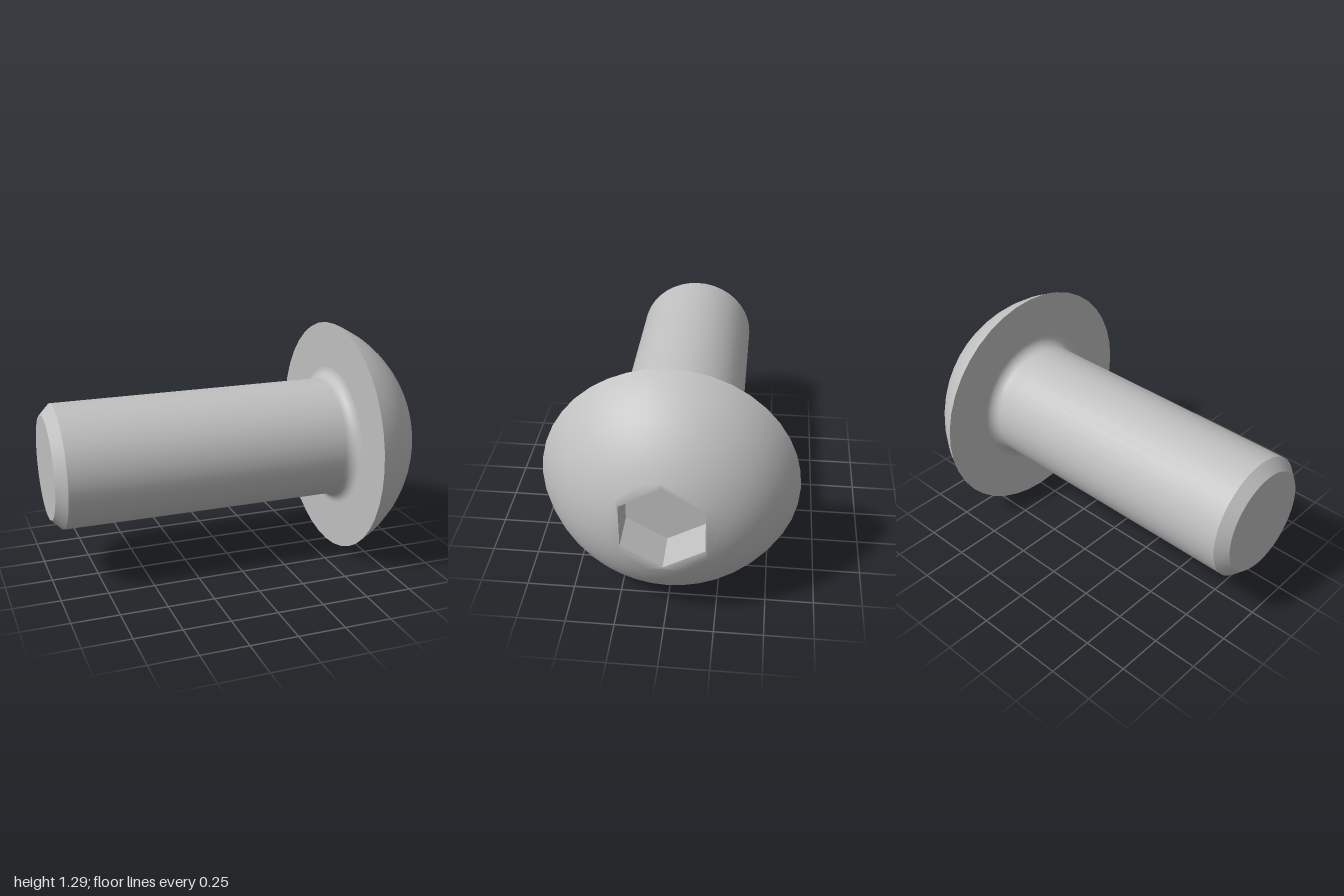
import * as THREE from 'three';

const SEGMENTS = 40;
const HEAD_R = 0.643, SHAFT_R = 0.33, TIP_R = 0.275, FLAT_R = 0.265;
const UNDERSIDE = 0.625, FILLET = 0.06;
const HEX_R = 0.235, SOCKET_DEPTH = 0.21;

// Points on an arc, angles in radians
function arc(cx, cy, r, from, to, steps) {
  return Array.from({ length: steps + 1 }, (_, i) => {
    const a = from + (to - from) * i / steps;
    return [cx + r * Math.cos(a), cy + r * Math.sin(a)];
  });
}

export function createModel() {
  const steel = new THREE.MeshStandardMaterial({ color: 0xc0c0c0 });
  steel.name = 'steel grey';

  // The screw is built along y, then laid on its side with the head at +x
  const screw = new THREE.Group();
  screw.name = 'screw';
  const add = (name, geometry, parent = screw) => {
    const mesh = new THREE.Mesh(geometry, steel);
    mesh.name = name;
    parent.add(mesh);
  };
  const turned = (name, points) => add(name,
    new THREE.LatheGeometry(points.map(([r, h]) => new THREE.Vector2(r, h)), SEGMENTS));

  // Shaft: separate turned bands keep the edges sharp
  add('tipFace', new THREE.CircleGeometry(TIP_R, SEGMENTS).rotateX(Math.PI / 2).translate(0, -1, 0));
  turned('tipChamfer', [[TIP_R, -1], [SHAFT_R, -0.945]]);
  turned('shaft', [[SHAFT_R, -0.945], [SHAFT_R, 0.5],
    ...arc(SHAFT_R + FILLET, UNDERSIDE - FILLET, FILLET, Math.PI, Math.PI / 2, 8)]);

  // Head: flat underside and a spherical dome
  turned('headUnderside', [[SHAFT_R + FILLET, UNDERSIDE], [HEAD_R, UNDERSIDE]]);
  const centre = (1 + FLAT_R ** 2 - UNDERSIDE ** 2 - HEAD_R ** 2) / (2 * (1 - UNDERSIDE));
  const domeR = Math.hypot(FLAT_R, 1 - centre);
  turned('headDome', arc(0, centre, domeR,
    Math.atan2(UNDERSIDE - centre, HEAD_R), Math.atan2(1 - centre, FLAT_R), 16));

  // Flat top of the head with a hexagonal opening
  const ring = (r, n) => Array.from({ length: n }, (_, i) =>
    new THREE.Vector2(r * Math.cos(i * 2 * Math.PI / n), r * Math.sin(i * 2 * Math.PI / n)));
  const top = new THREE.Shape(ring(FLAT_R, SEGMENTS));
  top.holes.push(new THREE.Path(ring(HEX_R, 6)));
  const topGeometry = new THREE.ShapeGeometry(top).rotateX(-Math.PI / 2).translate(0, 1, 0);
  // Blend the outer rim's shading into the dome
  const pos = topGeometry.attributes.position, normal = topGeometry.attributes.normal;
  for (let i = 0; i < pos.count; i++) {
    const x = pos.getX(i), z = pos.getZ(i);
    if (Math.hypot(x, z) > 0.25) normal.setXYZ(i, x / domeR, (1 - centre) / domeR, z / domeR);
  }
  add('headTop', topGeometry);

  // Hexagonal socket: six inward walls and a floor
  const socket = new THREE.Group();
  socket.name = 'socket';
  screw.add(socket);
  for (let i = 0; i < 6; i++) {
    add('socketWall', new THREE.PlaneGeometry(HEX_R, SOCKET_DEPTH)
      .translate(0, 1 - SOCKET_DEPTH / 2, -HEX_R * Math.sqrt(3) / 2)
      .rotateY(i * Math.PI / 3), socket);
  }
  add('socketFloor', new THREE.CircleGeometry(HEX_R, 6)
    .rotateX(-Math.PI / 2).translate(0, 1 - SOCKET_DEPTH, 0), socket);

  screw.rotation.z = -Math.PI / 2;
  screw.position.y = HEAD_R;
  const model = new THREE.Group();
  model.name = 'buttonHeadScrew';
  model.add(screw);
  return model;
}
